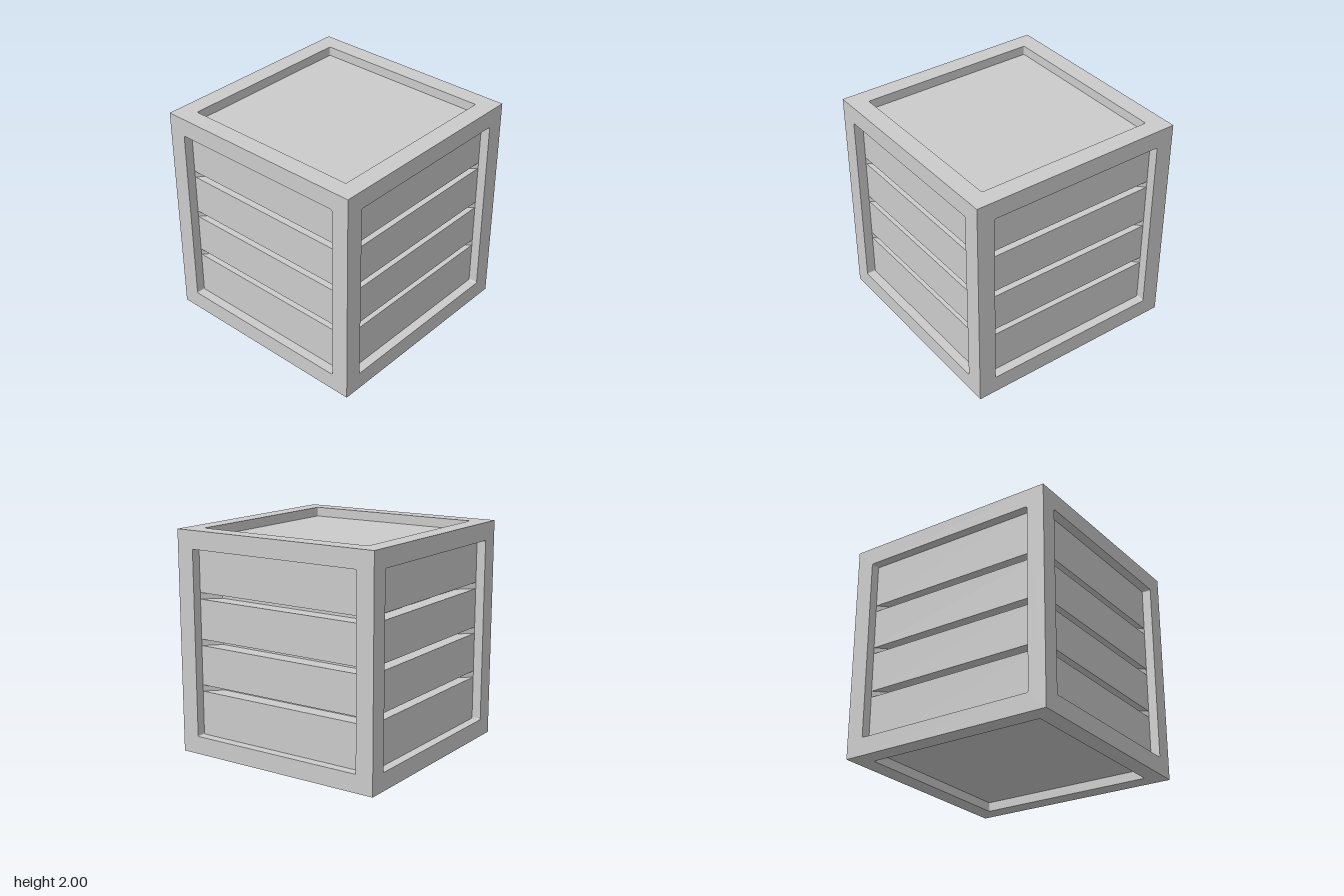
import * as THREE from 'three';

const PANEL = 0.915;  // recessed panel distance from the centre
const OPEN = 0.837;   // half width of each frame opening
const CORE = 0.78;    // backing seen through the slots
const GAPS = [[0.56, 0.618], [0.975, 1.033], [1.39, 1.448]];

const material = new THREE.MeshStandardMaterial({ color: 0xcccccc, flatShading: true });

function add(parent, name, geometry, x = 0, y = 0, z = 0) {
  const mesh = new THREE.Mesh(geometry, material);
  mesh.name = name;
  mesh.position.set(x, y, z);
  parent.add(mesh);
  return mesh;
}

// Square frame with a slightly rounded opening; its outer rim is mitred at 45 degrees
function frameGeometry() {
  const shape = new THREE.Shape([[-1, -1], [1, -1], [1, 1], [-1, 1]].map(p => new THREE.Vector2(...p)));
  const hole = new THREE.Path();
  const r = 0.012, c = OPEN - r;
  [[1, 1], [-1, 1], [-1, -1], [1, -1]].forEach(([sx, sy], i) =>
    hole.absarc(sx * c, sy * c, r, i * Math.PI / 2, (i + 1) * Math.PI / 2, false));
  hole.closePath();
  shape.holes.push(hole);
  const geo = new THREE.ExtrudeGeometry(shape, { depth: 1 - PANEL, bevelEnabled: false, curveSegments: 3 });
  geo.translate(0, 0, PANEL);
  const p = geo.attributes.position;
  for (let i = 0; i < p.count; i++) {
    const outer = Math.max(Math.abs(p.getX(i)), Math.abs(p.getY(i))) > 0.99;
    if (outer && p.getZ(i) < 0.99) p.setXY(i, p.getX(i) * PANEL, p.getY(i) * PANEL);
  }
  geo.computeVertexNormals();
  return geo;
}

export function createModel() {
  const crate = new THREE.Group();
  crate.name = 'crate';

  // Six frames, one on each side
  const frame = frameGeometry();
  const h = Math.PI / 2;
  const sides = {
    frontFrame: [0, 0], leftFrame: [0, h], backFrame: [0, 2 * h],
    rightFrame: [0, -h], topFrame: [-h, 0], bottomFrame: [h, 0],
  };
  for (const [name, [rx, ry]] of Object.entries(sides)) {
    add(crate, name, frame, 0, 1, 0).rotation.set(rx, ry, 0);
  }

  // Plank layers running round the crate; the end layers also form the lid and floor
  const edges = [1 - PANEL, ...GAPS.flat(), 1 + PANEL];
  for (let i = 0; i < edges.length; i += 2) {
    const height = edges[i + 1] - edges[i];
    add(crate, 'plankLayer' + (i / 2 + 1),
      new THREE.BoxGeometry(2 * PANEL, height, 2 * PANEL), 0, edges[i] + height / 2, 0);
  }

  // Backing between the planks
  add(crate, 'innerCore', new THREE.BoxGeometry(2 * CORE, 1.5, 2 * CORE), 0, 1, 0);

  // Corner posts whose slanted sides close the ends of the slots
  const inner = OPEN - (PANEL - CORE);
  const section = new THREE.Shape([
    [OPEN, PANEL], [inner, CORE], [CORE, inner], [PANEL, OPEN], [PANEL, PANEL],
  ].map(p => new THREE.Vector2(...p)));
  const post = new THREE.ExtrudeGeometry(section, { depth: 1.5, bevelEnabled: false });
  post.rotateX(-h);
  for (let i = 0; i < 4; i++) {
    add(crate, 'cornerPost' + (i + 1), post, 0, 0.25, 0).rotation.y = i * h;
  }

  return crate;
}
